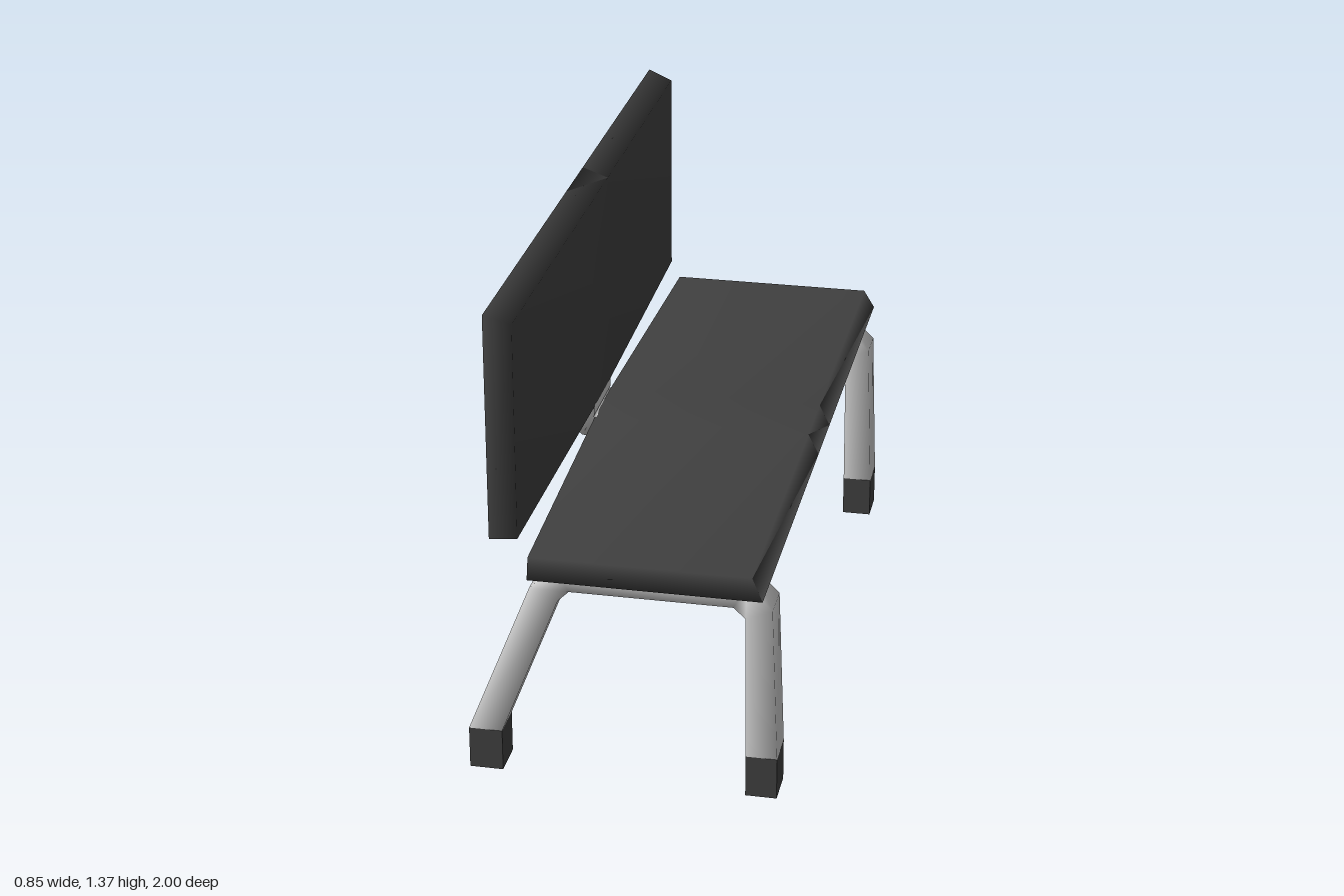
import * as THREE from 'three';

const dark = new THREE.MeshStandardMaterial({ color: 0x404040 });
const grey = new THREE.MeshStandardMaterial({ color: 0xcccccc });

// Smooth-shaded skin through four-cornered rings, each counter-clockwise seen from the far end
function loft(rings, caps) {
  const index = [];
  const quad = (a, b, c, d) => index.push(a, b, c, a, c, d);
  for (let i = 0; i < rings.length - 1; i++) {
    for (let j = 0; j < 4; j++) {
      const k = (j + 1) % 4;
      quad(i * 4 + j, i * 4 + k, i * 4 + 4 + k, i * 4 + 4 + j);
    }
  }
  if (caps) {
    const e = (rings.length - 1) * 4;
    quad(3, 2, 1, 0);
    quad(e, e + 1, e + 2, e + 3);
  }
  const geo = new THREE.BufferGeometry();
  geo.setAttribute('position', new THREE.Float32BufferAttribute(rings.flat(2), 3));
  geo.setIndex(index);
  geo.computeVertexNormals();
  return geo;
}

// Bent square bar: [outerX, outerY, innerX, innerY] stations, given a z half-width
const bar = (stations, h) => loft(stations.map(([ox, oy, ix, iy]) =>
  [[ox, oy, h], [ix, iy, h], [ix, iy, -h], [ox, oy, -h]]), false);

function add(parent, name, geo, material) {
  const mesh = new THREE.Mesh(geo, material);
  mesh.name = name;
  parent.add(mesh);
  return mesh;
}

export function createModel() {
  const bench = new THREE.Group();
  bench.name = 'bench';
  const spans = [-1, -0.1, 0.1, 1];
  const isEnd = (z) => Math.abs(z) === 1;

  // Seat slab: bevelled front and ends, back edge bowed out towards the middle
  add(bench, 'seat', loft(spans.map((z) => {
    const back = isEnd(z) ? -0.23 : -0.255;
    const top = isEnd(z) ? z * 0.985 : z;
    return [[back, 0.635, z], [0.392, 0.635, z], [0.362, 0.694, top], [back, 0.694, top]];
  }), true), dark);

  // Backrest slab: bevelled top and ends, lower edge dips towards the middle
  add(bench, 'backrest', loft(spans.map((z) => {
    const low = isEnd(z) ? 0.745 : 0.725;
    const front = isEnd(z) ? z * 0.985 : z;
    return [[-0.328, low, z], [-0.256, low, front], [-0.256, 1.346, front], [-0.328, 1.372, z]];
  }), true), dark);

  // Short elbow joining seat and backrest
  add(bench, 'backBracket', bar([
    [-0.25, 0.635, -0.25, 0.694],
    [-0.292, 0.635, -0.262, 0.694],
    [-0.328, 0.67, -0.256, 0.7],
    [-0.328, 0.73, -0.256, 0.73],
  ], 0.105), grey);

  // One bent leg frame with two feet at each end
  for (const side of [1, -1]) {
    const frame = new THREE.Group();
    frame.name = side > 0 ? 'leftLegFrame' : 'rightLegFrame';
    frame.position.z = side * 0.862;
    add(frame, 'legs', bar([
      [-0.424, 0.12, -0.332, 0.12],
      [-0.247, 0.565, -0.17, 0.535],
      [-0.178, 0.635, -0.14, 0.565],
      [0.335, 0.635, 0.3, 0.565],
      [0.404, 0.565, 0.333, 0.535],
      [0.421, 0.12, 0.336, 0.12],
    ], 0.0525), grey);
    for (const [name, x, width] of [['rearFoot', -0.378, 0.092], ['frontFoot', 0.3785, 0.085]]) {
      add(frame, name, new THREE.BoxGeometry(width, 0.12, 0.105), dark).position.set(x, 0.06, 0);
    }
    bench.add(frame);
  }
  return bench;
}
